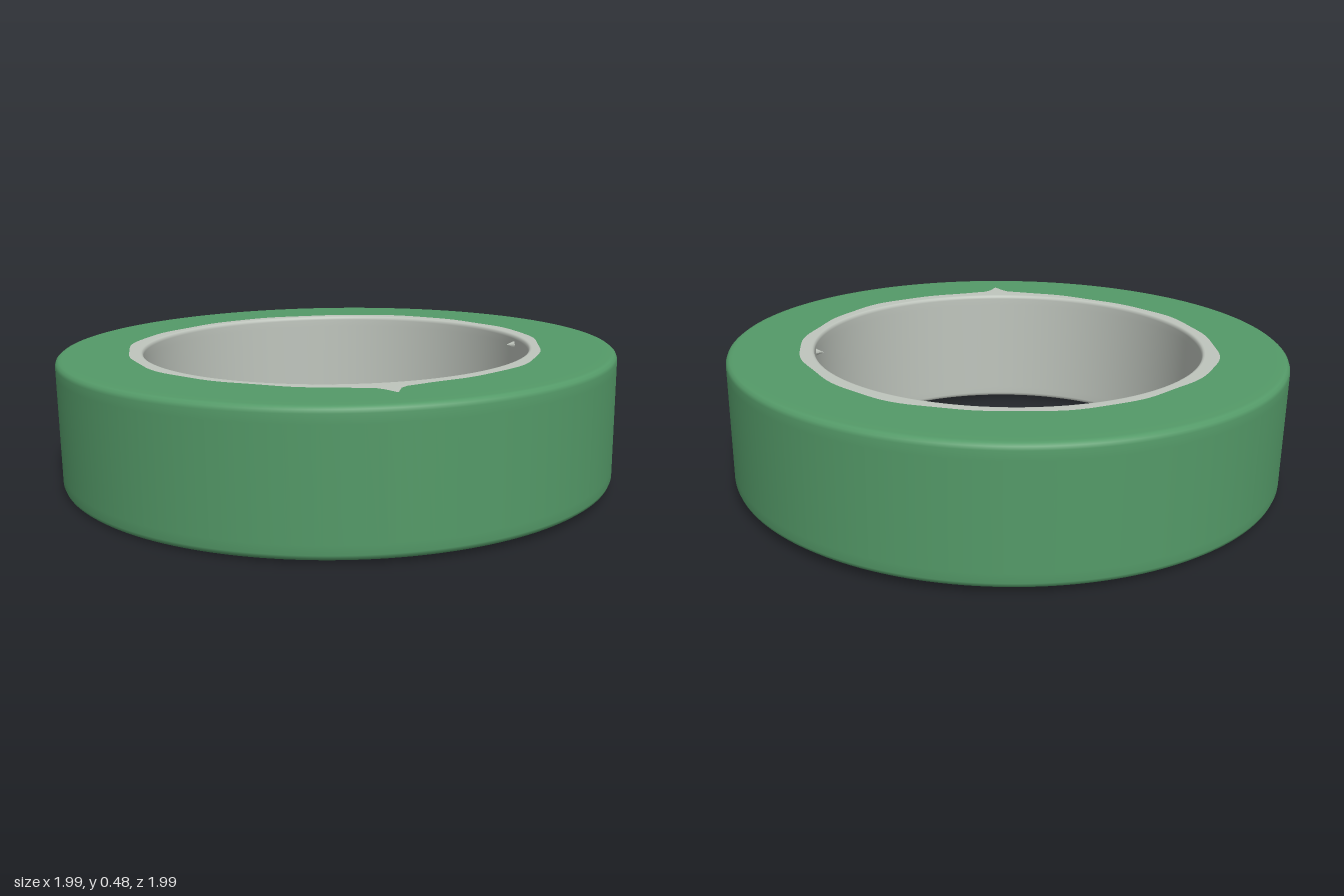
import * as THREE from 'three';

const OUTER = 0.993, INNER = 0.692, HALF = 0.225, SEAM = 0.74;

// Ragged radius where the tape meets the core, by angle (0 = front, growing toward +x)
function seamRadius(a, top) {
  const s = top ? 0 : 1.7;
  const wave = 0.006 * Math.sin(3 * a + 0.6 + s) + 0.005 * Math.sin(7 * a + 2 + s) + 0.003 * Math.sin(17 * a + s);
  const d = Math.atan2(Math.sin(a - 0.096), Math.cos(a - 0.096));
  const spike = top ? 0.075 * Math.max(0, 1 - Math.abs(d) / 0.045) + 0.02 * Math.exp(-d * d / 0.03) : 0;
  return SEAM + 0.002 + wave + spike;
}

// Lathe whose seam vertices follow the ragged edge
function ring(name, profile, material) {
  const geo = new THREE.LatheGeometry(profile.map(([r, y]) => new THREE.Vector2(r, y)), 192);
  const p = geo.attributes.position;
  for (let i = 0; i < p.count; i++) {
    const x = p.getX(i), z = p.getZ(i), r = Math.hypot(x, z);
    if (Math.abs(r - SEAM) > 0.001) continue;
    const k = seamRadius(Math.atan2(x, z), p.getY(i) > 0) / r;
    p.setX(i, x * k);
    p.setZ(i, z * k);
  }
  const mesh = new THREE.Mesh(geo, material);
  mesh.name = name;
  return mesh;
}

export function createModel() {
  const green = new THREE.MeshStandardMaterial({ color: 0x549a68 });
  green.name = 'green tape';
  const grey = new THREE.MeshStandardMaterial({ color: 0xbfc5bd });
  grey.name = 'pale grey core';

  // Wound tape: underside, softened outer wall, top
  const lower = [[SEAM, -HALF], [0.93, -HALF], [0.968, -HALF], [0.98, -HALF + 0.002],
    [OUTER - 0.004, -HALF + 0.009], [OUTER, -HALF + 0.02], [OUTER, -HALF + 0.05]];
  const upper = lower.map(([r, y]) => [r, -y]).reverse();
  const tape = ring('tapeWinding', [...lower, ...upper], green);

  // Core: top rim, inner wall, bottom rim
  const rim = [[SEAM, HALF], [INNER + 0.012, HALF], [INNER + 0.006, HALF - 0.001],
    [INNER + 0.001, HALF - 0.006], [INNER, HALF - 0.014], [INNER, HALF - 0.04]];
  const rimBelow = rim.map(([r, y]) => [r, -y]).reverse();
  const core = ring('innerCore', [...rim, ...rimBelow], grey);

  // Small burr on the inner wall
  const burr = new THREE.Mesh(new THREE.ConeGeometry(0.016, 0.035, 6), grey);
  burr.name = 'coreBurr';
  burr.rotation.z = Math.PI / 2;
  burr.position.set(0.678, HALF - 0.035, -0.07);

  // The roll rests with a very slight tilt
  const roll = new THREE.Group();
  roll.name = 'tapeRoll';
  roll.add(tape, core, burr);
  roll.rotation.set(0.004, 0, 0.0125);
  roll.position.set(0, 0.241, -0.003);

  const model = new THREE.Group();
  model.name = 'rollOfTape';
  model.add(roll);
  return model;
}
